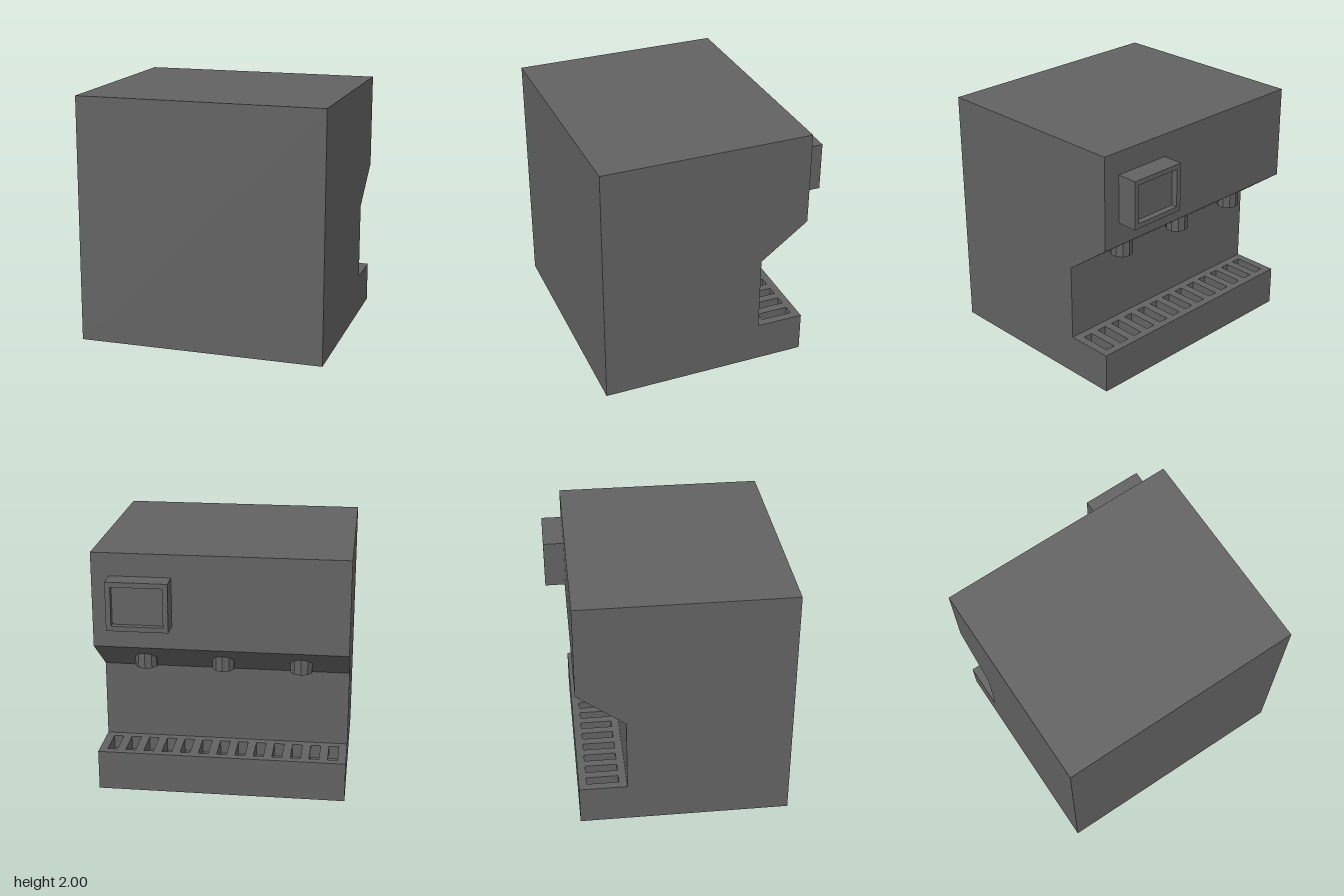
import * as THREE from 'three';

const material = new THREE.MeshStandardMaterial({ color: 0x626262 });

function rectangle(Type, x0, y0, x1, y1) {
  return new Type([[x0, y0], [x1, y0], [x1, y1], [x0, y1]].map(([x, y]) => new THREE.Vector2(x, y)));
}

function extrude(shape, depth) {
  return new THREE.ExtrudeGeometry(shape, { depth, bevelEnabled: false });
}

function addMesh(parent, name, geometry) {
  const mesh = new THREE.Mesh(geometry, material);
  mesh.name = name;
  parent.add(mesh);
  return mesh;
}

export function createModel() {
  const model = new THREE.Group();
  model.name = 'drinkDispenser';

  const back = 0.936, front = -0.768, alcove = -0.382;
  const trayTop = 0.327, slotDepth = 0.11;

  // Cabinet: side profile (z, y) swept across the width
  const profile = new THREE.Shape([
    [back, 0], [back, 2], [front, 2], [front, 1.238], [alcove, 0.951],
    [alcove, trayTop - slotDepth], [front, trayTop - slotDepth], [front, 0],
  ].map(([z, y]) => new THREE.Vector2(z, y)));
  addMesh(model, 'cabinet', extrude(profile, 2).rotateY(-Math.PI / 2).translate(1, 0, 0));

  // Drip tray grille with a row of slots
  const grille = rectangle(THREE.Shape, -1, front, 1, alcove);
  const slots = 13, spacing = 0.149;
  for (let i = 0; i < slots; i++) {
    const x = (i - (slots - 1) / 2) * spacing;
    grille.holes.push(rectangle(THREE.Path, x - 0.04, -0.705, x + 0.04, -0.445));
  }
  addMesh(model, 'dripTrayGrille', extrude(grille, slotDepth).rotateX(Math.PI / 2).translate(0, trayTop, 0));

  // Control panel: solid backing and a raised frame around the screen
  const panel = new THREE.Group();
  panel.name = 'controlPanel';
  panel.position.set(0.617, 1.622, 0);
  model.add(panel);
  const w = 0.241, h = 0.195, border = 0.04, recess = 0.05, face = -0.936;
  const backing = front - face - recess;
  addMesh(panel, 'screen', new THREE.BoxGeometry(2 * w, 2 * h, backing)).position.z = front - backing / 2;
  const frame = rectangle(THREE.Shape, -w, -h, w, h);
  frame.holes.push(rectangle(THREE.Path, -w + border, -h + border, w - border, h - border));
  addMesh(panel, 'screenFrame', extrude(frame, recess)).position.z = face;

  // Three ten-sided nozzles under the sloped face
  const nozzle = new THREE.CylinderGeometry(0.09, 0.09, 0.2, 10).toNonIndexed();
  nozzle.computeVertexNormals();
  for (const x of [-0.622, 0, 0.622]) {
    addMesh(model, 'nozzle', nozzle).position.set(x, 1.115, -0.552);
  }

  return model;
}
